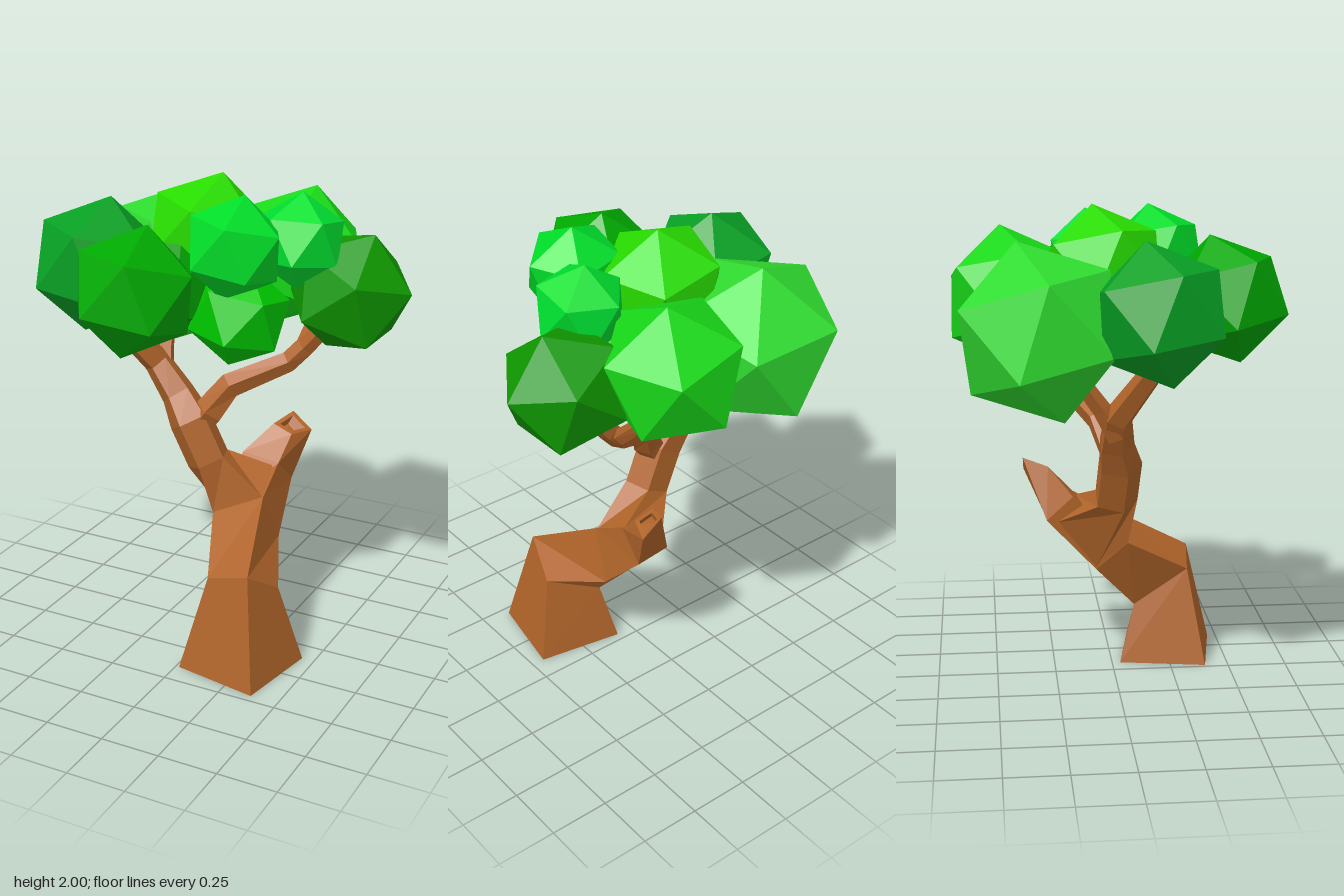
import * as THREE from 'three';

const V = (a) => new THREE.Vector3(...a);
const bark = new THREE.MeshStandardMaterial({ color: 0xb0642a, flatShading: true });

// Skin over a series of rings (each an array of points, counterclockwise about the growth direction)
function loft(name, rings) {
  const pos = [];
  const n = rings[0].length;
  const tri = (...pts) => pts.forEach((p) => pos.push(p.x, p.y, p.z));
  for (let i = 0; i < rings.length - 1; i++) {
    for (let k = 0; k < n; k++) {
      const m = (k + 1) % n;
      const [a, b, c, d] = [rings[i][k], rings[i][m], rings[i + 1][m], rings[i + 1][k]];
      tri(a, b, c);
      tri(a, c, d);
    }
  }
  const first = rings[0];
  const last = rings[rings.length - 1];
  for (let k = 1; k < n - 1; k++) {
    tri(first[0], first[k + 1], first[k]);
    tri(last[0], last[k], last[k + 1]);
  }
  const geo = new THREE.BufferGeometry();
  geo.setAttribute('position', new THREE.Float32BufferAttribute(pos, 3));
  geo.computeVertexNormals();
  const mesh = new THREE.Mesh(geo, bark);
  mesh.name = name;
  return mesh;
}

// Tapering five-sided branch through [x, y, z, radius] stations, optionally growing out of root rings
function limb(name, stations, root = []) {
  const pts = stations.map((s) => V(s.slice(0, 3)));
  const rings = pts.map((p, i) => {
    const t = pts[Math.min(i + 1, pts.length - 1)].clone().sub(pts[Math.max(i - 1, 0)]).normalize();
    const u = new THREE.Vector3(0, 0, 1).addScaledVector(t, -t.z).normalize();
    const v = t.clone().cross(u);
    return Array.from({ length: 5 }, (_, k) => {
      const a = (k / 5) * Math.PI * 2;
      const r = stations[i][3];
      return p.clone().addScaledVector(u, r * Math.cos(a)).addScaledVector(v, r * Math.sin(a));
    });
  });
  return loft(name, [...root, ...rings]);
}

// Orthonormal frame from a pole direction and a neighbouring direction
function frame(pole, side) {
  const y = pole.clone().normalize();
  const x = side.clone().addScaledVector(y, -side.dot(y)).normalize();
  return new THREE.Matrix4().makeBasis(x, y, x.clone().cross(y));
}

// Icosahedral leaf clump turned so one corner points along pole and a neighbour leans to side
function clump(name, color, radius, centre, pole, side) {
  const g = (1 + Math.sqrt(5)) / 2;
  const source = frame(V([1, g, 0]), V([-1, g, 0]));
  const mesh = new THREE.Mesh(
    new THREE.IcosahedronGeometry(radius, 0),
    new THREE.MeshStandardMaterial({ color, flatShading: true })
  );
  mesh.quaternion.setFromRotationMatrix(frame(V(pole), V(side)).multiply(source.transpose()));
  mesh.position.set(...centre);
  mesh.name = name;
  return mesh;
}

export function createModel() {
  const tree = new THREE.Group();
  tree.name = 'tree';

  // Square trunk that leans back and ends in a broken stub; corners run
  // front right, back right, back left, front left
  const trunkRings = [
    [[0.38, 0, 0.465], [0.445, 0, 0.1], [0.08, 0, 0.035], [0.015, 0, 0.4]],
    [[0.305, 0.465, 0.35], [0.36, 0.35, 0.17], [0.13, 0.25, 0.1], [0.115, 0.41, 0.33]],
    [[0.21, 0.66, 0.01], [0.24, 0.45, -0.09], [0.05, 0.44, -0.07], [0.0, 0.57, 0.06]],
    [[0.2, 0.75, -0.16], [0.21, 0.64, -0.28], [0.06, 0.66, -0.28], [0.03, 0.77, -0.17]],
    [[0.215, 0.85, -0.26], [0.26, 0.84, -0.37], [0.17, 0.91, -0.375], [0.125, 0.88, -0.27]],
  ].map((ring) => ring.map(V));

  // Hollow end of the stub
  const tip = trunkRings[4];
  const mid = tip.reduce((s, p) => s.add(p), new THREE.Vector3()).divideScalar(4);
  const rim = tip.map((p) => p.clone().lerp(mid, 0.35));
  trunkRings.push(rim, rim.map((p) => p.clone().add(V([-0.015, -0.035, 0.02]))));
  tree.add(loft('trunk', trunkRings));

  // Where the upper trunk leaves the lower one
  const fork = [[0, 0.57, 0.06], [0.205, 0.66, 0.005], [0.18, 0.74, -0.15], [0.06, 0.65, -0.24],
    [0.05, 0.45, -0.07]].map(V);

  // Upper trunk running on into the left branch, and the other branches
  tree.add(
    limb('upperTrunk', [[-0.05, 0.78, 0, 0.095], [-0.13, 0.95, 0.01, 0.095], [-0.2, 1.05, -0.01, 0.075],
      [-0.3, 1.18, -0.01, 0.06], [-0.46, 1.42, 0.13, 0.045]], [fork]),
    limb('leftBackBranch', [[-0.27, 1.1, -0.01, 0.05], [-0.3, 1.22, -0.08, 0.04], [-0.33, 1.36, -0.18, 0.035]]),
    limb('rightBranch', [[-0.12, 0.9, 0, 0.05], [-0.05, 1, -0.01, 0.065], [0.02, 1.11, -0.06, 0.055],
      [0.23, 1.21, -0.18, 0.045], [0.3, 1.28, -0.2, 0.04], [0.42, 1.42, -0.2, 0.035]]),
    limb('rightBackBranch', [[0.22, 1.2, -0.17, 0.04], [0.27, 1.27, -0.25, 0.035], [0.28, 1.42, -0.42, 0.03]])
  );

  // Leaf clumps: name, colour, radius, centre, pole, side
  [
    ['backLeftLeaves', 0x30dc30, 0.362, [-0.34, 1.53, -0.315], [0.05, 0.33, -0.085], [-0.14, 0.12, -0.31]],
    ['backRightLeaves', 0x18d818, 0.3, [0.16, 1.605, -0.415], [0.06, 0.28, -0.04], [0.17, 0.1, -0.26]],
    ['leftLeaves', 0x08a024, 0.283, [-0.49, 1.615, 0.13], [0.04, 0.275, -0.05], [-0.225, 0.1, 0.07]],
    ['frontLeaves', 0x00a800, 0.263, [-0.145, 1.625, 0.435], [0.03, 0.25, -0.06], [0.24, 0.05, 0]],
    ['topLeaves', 0x28dc00, 0.265, [-0.08, 1.74, -0.05], [0.05, 0.25, -0.04], [0.025, 0.1, 0.22]],
    ['frontTopLeaves', 0x00dc28, 0.21, [0.16, 1.775, 0.19], [0.03, 0.2, -0.03], [0.19, 0.05, 0.02]],
    ['rightTopLeaves', 0x00e030, 0.192, [0.32, 1.765, -0.065], [0, 0.19, -0.03], [0.16, 0.07, -0.12]],
    ['rightLeaves', 0x0f9800, 0.263, [0.488, 1.545, -0.195], [0.26, 0.02, 0], [0.08, 0.24, 0]],
    ['lowerLeaves', 0x00cc00, 0.21, [0.14, 1.482, 0.105], [0.03, 0.2, -0.03], [0.15, 0.1, 0.1]],
    ['innerLeaves', 0x009800, 0.21, [-0.13, 1.58, 0.11], [0.02, 0.2, 0], [0.1, 0, 0.2]],
  ].forEach((args) => tree.add(clump(...args)));

  return tree;
}
